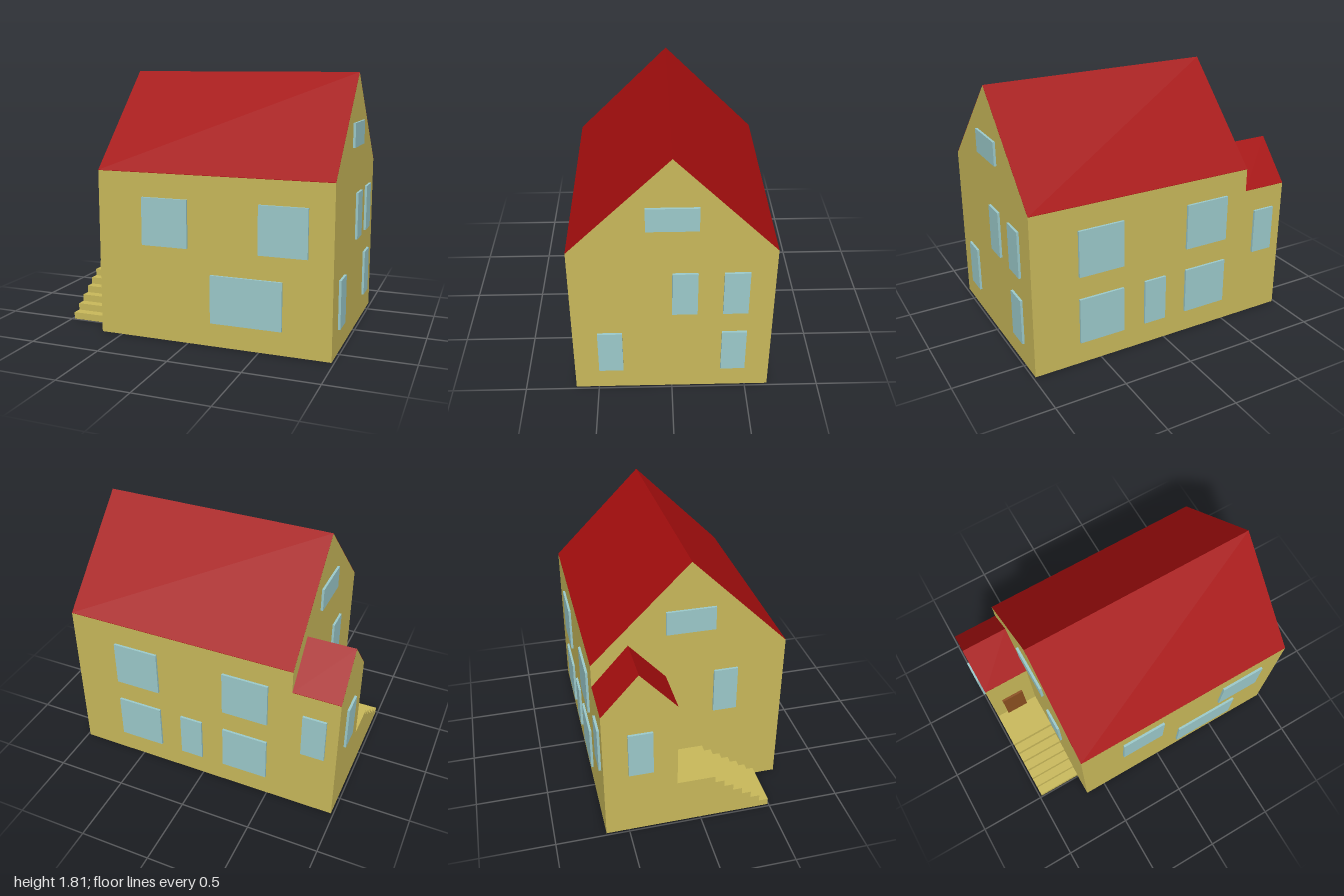
import * as THREE from 'three';

const U = 0.1639; // one building module
const mat = (name, color) => {
  const m = new THREE.MeshStandardMaterial({ color });
  m.name = name;
  return m;
};

export function createModel() {
  const house = new THREE.Group();
  house.name = 'house';
  const wall = mat('yellow wall', 0xc8b85a);
  const red = mat('red roof', 0xa50e0e);
  const glass = mat('pale blue glass', 0x9bc9ca);
  const wood = mat('brown wood', 0x8b5020);

  const add = (name, geometry, material) => {
    const mesh = new THREE.Mesh(geometry, material);
    mesh.name = name;
    house.add(mesh);
    return mesh;
  };

  // Box given by its limits in modules
  const box = (name, material, x0, x1, y0, y1, z0, z1) => {
    const g = new THREE.BoxGeometry((x1 - x0) * U, (y1 - y0) * U, (z1 - z0) * U);
    g.translate((x0 + x1) / 2 * U, (y0 + y1) / 2 * U, (z0 + z1) / 2 * U);
    return add(name, g, material);
  };

  // Outline in (z, y) swept along x
  const sweep = (name, material, points, x0, x1) => {
    const shape = new THREE.Shape(points.map(([z, y]) => new THREE.Vector2(-z * U, y * U)));
    const g = new THREE.ExtrudeGeometry(shape, { depth: (x1 - x0) * U, bevelEnabled: false });
    g.rotateY(Math.PI / 2);
    g.translate(x0 * U, 0, 0);
    return add(name, g, material);
  };

  // Gabled block with thin roof skins flush with the walls
  const gabled = (name, x0, x1, z0, z1, eaves, ridge) => {
    const mid = (z0 + z1) / 2, t = 0.015;
    sweep(name + 'Walls', wall, [[z0, 0], [z1, 0], [z1, eaves], [mid, ridge], [z0, eaves]], x0, x1);
    for (const [side, z] of [['Front', z1], ['Back', z0]]) {
      sweep(name + 'Roof' + side, red,
        [[z, eaves], [mid, ridge], [mid, ridge + t], [z, eaves + t]], x0, x1);
    }
  };
  gabled('mainHouse', -4, 6, -4, 4, 7, 11);
  gabled('porch', -6, -4, -4, -1, 6, 7.7);

  // Stairs, the top tread being the landing
  for (let i = 0; i < 7; i++) {
    const start = i === 0 ? -1 : 0.2 + 0.4 * i;
    box('stairStep', wall, -6, -4, 0, (7 - i) * 0.3, start, 0.6 + 0.4 * i);
  }

  // Panels on walls: [from, to, bottom, top]
  const T = 0.1;
  const panelsZ = (name, z, dir, list, material = glass) => list.forEach(([a, b, y0, y1]) =>
    box(name, material, a, b, y0, y1, Math.min(z, z + dir * T), Math.max(z, z + dir * T)));
  const panelsX = (name, x, dir, list) => list.forEach(([a, b, y0, y1]) =>
    box(name, glass, Math.min(x, x + dir * T), Math.max(x, x + dir * T), y0, y1, a, b));

  panelsZ('frontWindow', 4, 1, [[-2, 0, 4, 6], [3, 5, 4, 6], [1, 4, 1, 3]]);
  panelsZ('backWindow', -4, -1, [
    [-3, -1, 4, 6], [2, 4, 4, 6], [-3, -1, 1, 3], [2, 4, 1, 3], [0, 1, 1, 3], [-5.5, -4.5, 3, 5],
  ]);
  panelsX('leftWindow', 6, 1, [
    [-1, 1, 8, 9], [-1, 0, 4, 6], [-3, -2, 4, 6], [-3, -2, 1, 3], [2, 3, 1, 3],
  ]);
  panelsX('rightWindow', -4, -1, [[-1, 1, 8, 9], [1, 2, 4, 6]]);
  panelsX('porchWindow', -6, -1, [[-3, -2, 3, 5]]);
  panelsZ('frontDoor', -1, 1, [[-5.5, -4.5, 2.1, 4]], wood);

  return house;
}
